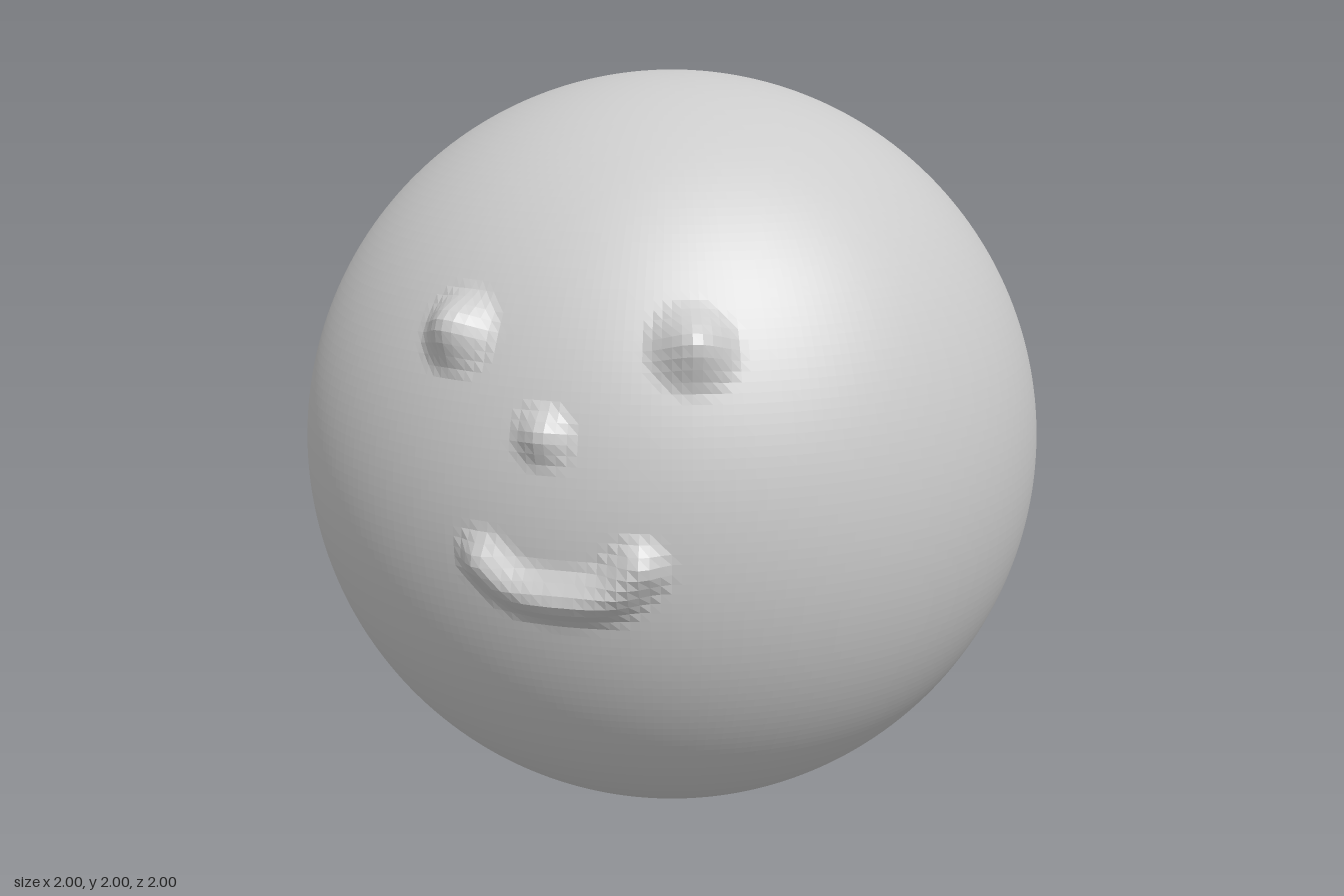
import * as THREE from 'three';

const V = (x, y, z) => new THREE.Vector3(x, y, z).normalize();

// Face features as raised strokes on the unit ball: a path, a brush radius and a height
const strokes = [
  { path: [V(0.15, 0.445, 0.885)], radius: 0.12, height: 0.068 }, // right eye
  { path: [V(0.655, 0.435, 0.615)], radius: 0.12, height: 0.068 }, // left eye
  { path: [V(0.425, 0.235, 0.875)], radius: 0.085, height: 0.035 }, // nose
  { // smiling mouth
    path: new THREE.CatmullRomCurve3([
      V(0.3, -0.07, 0.95), V(0.37, -0.125, 0.92), V(0.48, -0.145, 0.865),
      V(0.575, -0.125, 0.81), V(0.63, -0.06, 0.77),
    ]).getPoints(30).map((p) => p.normalize()),
    radius: 0.085, height: 0.045,
  },
];

// Raised amount at a direction: a soft round fall-off from the nearest path point
function relief(dir) {
  let sum = 0;
  for (const { path, radius, height } of strokes) {
    const d = Math.min(...path.map((p) => p.distanceTo(dir)));
    if (d < radius) sum = Math.max(sum, height * (1 - THREE.MathUtils.smoothstep(d, 0, radius)));
  }
  return sum;
}

export function createModel() {
  const group = new THREE.Group();
  group.name = 'smilingBall';

  // Dense ball with the face pushed outwards
  const geometry = new THREE.SphereGeometry(1, 256, 128);
  const pos = geometry.attributes.position;
  const p = new THREE.Vector3();
  for (let i = 0; i < pos.count; i++) {
    p.fromBufferAttribute(pos, i).normalize();
    p.multiplyScalar(1 + relief(p));
    pos.setXYZ(i, p.x, p.y, p.z);
  }
  geometry.computeVertexNormals();

  const ball = new THREE.Mesh(
    geometry,
    new THREE.MeshStandardMaterial({ color: 0xcccccc, flatShading: true }),
  );
  ball.name = 'ballWithFace';
  ball.position.y = 1;
  group.add(ball);
  return group;
}
